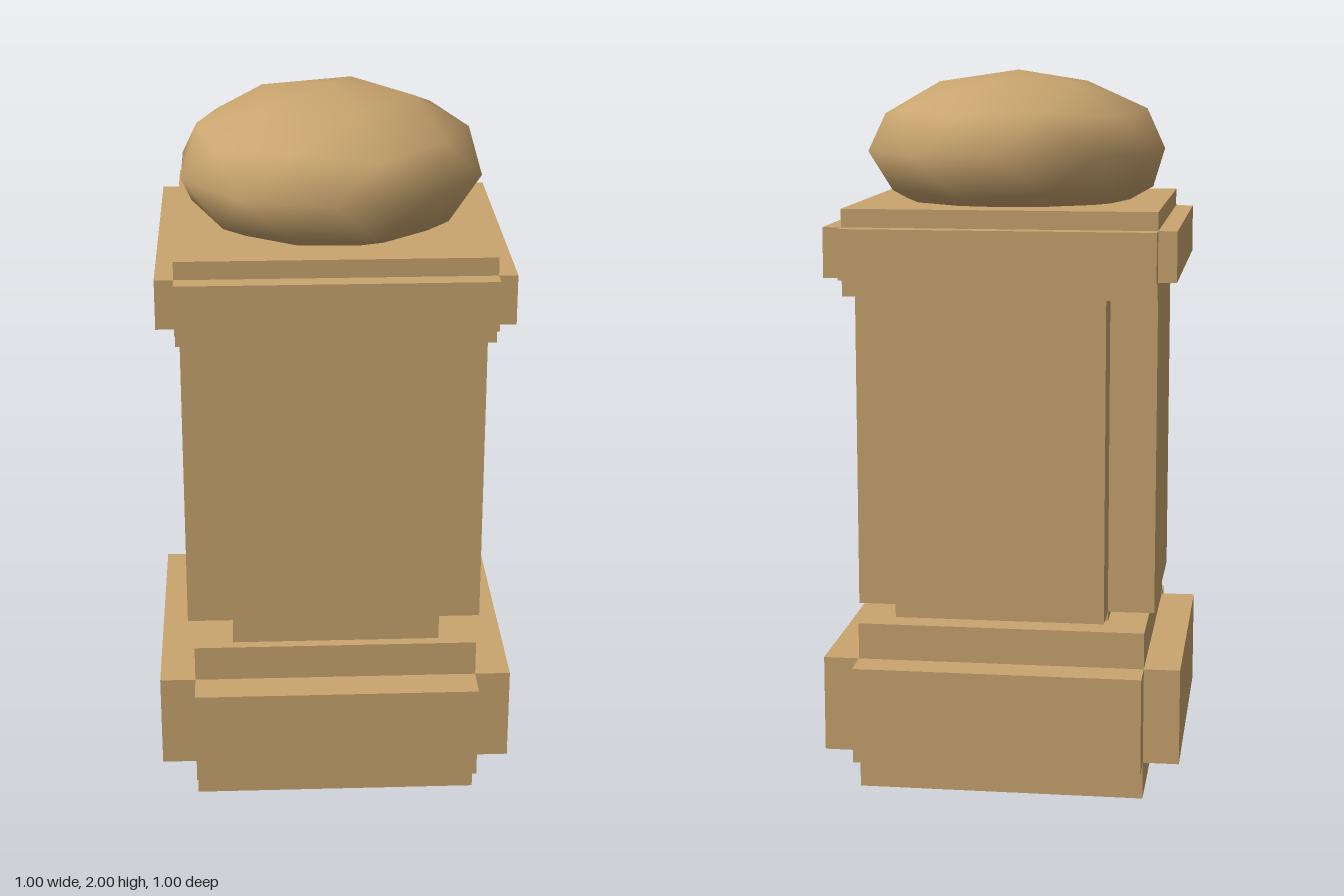
import * as THREE from 'three';

const stone = new THREE.MeshStandardMaterial({ color: 0xc9a56f });
stone.name = 'sandstone';

function part(name, geometry) {
  const mesh = new THREE.Mesh(geometry, stone);
  mesh.name = name;
  return mesh;
}

// Square block from y0 to y1
function block(name, half, y0, y1) {
  return part(name, new THREE.BoxGeometry(half * 2, y1 - y0, half * 2).translate(0, (y0 + y1) / 2, 0));
}

// Plus-shaped course: four raised panels of half width `inner`, reaching out to `outer`
function cross(name, inner, outer, y0, y1) {
  const a = inner, b = outer;
  const shape = new THREE.Shape([
    [b, -a], [b, a], [a, a], [a, b], [-a, b], [-a, a],
    [-b, a], [-b, -a], [-a, -a], [-a, -b], [a, -b], [a, -a],
  ].map(([x, y]) => new THREE.Vector2(x, y)));
  const geometry = new THREE.ExtrudeGeometry(shape, { depth: y1 - y0, bevelEnabled: false });
  return part(name, geometry.rotateX(-Math.PI / 2).translate(0, y0, 0));
}

export function createModel() {
  const pillar = new THREE.Group();
  pillar.name = 'pillar';

  // Plinth
  pillar.add(block('plinth', 0.4, 0, 0.477));
  pillar.add(cross('plinthPanels', 0.4, 0.5, 0.105, 0.375));

  // Shaft with a raised panel on each side
  pillar.add(block('shaftCore', 0.29, 0.477, 1.4));
  pillar.add(cross('shaftPanels', 0.29, 0.42, 0.505, 1.4));

  // Cap
  pillar.add(block('cap', 0.427, 1.4, 1.637));
  pillar.add(cross('capPanels', 0.427, 0.478, 1.45, 1.587));

  // Flattened ball, turned so that one vertex points straight up
  const tilt = Math.atan(2 / (1 + Math.sqrt(5)));
  const ball = new THREE.IcosahedronGeometry(1, 1)
    .rotateZ(-tilt)
    .scale(0.43, 0.225, 0.43)
    .translate(0, 1.775, 0);
  pillar.add(part('ballFinial', ball));

  return pillar;
}
